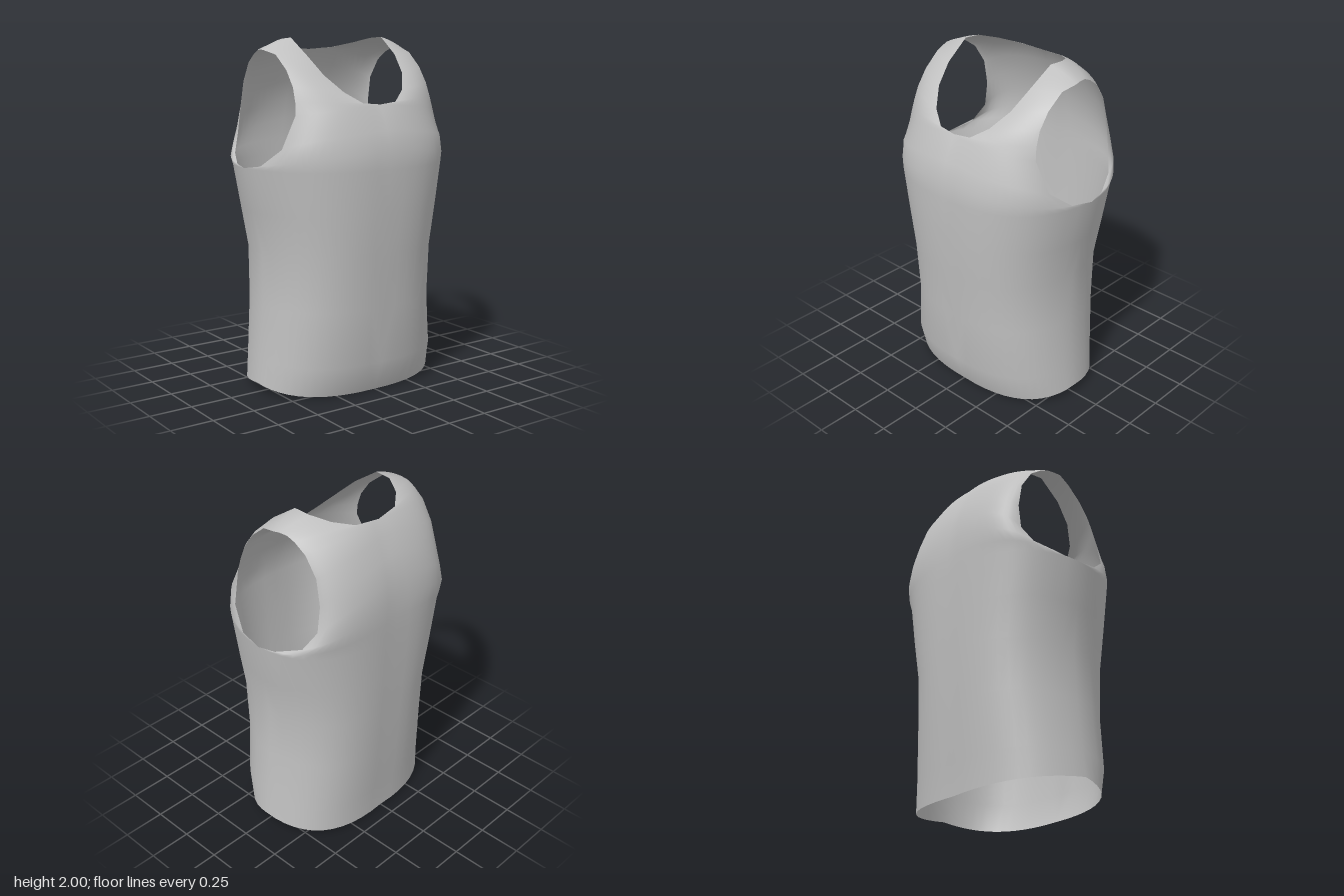
import * as THREE from 'three';
import { mergeVertices } from 'three/addons/utils/BufferGeometryUtils.js';

// Torso rows from hem to armpit: height at side, height at centre, half width, front depth, back depth, seam z
const torso = [
  [0.055, 0.0, 0.58, 0.345, 0.405, 0],
  [0.2, 0.18, 0.565, 0.41, 0.415, 0],
  [0.5, 0.5, 0.535, 0.42, 0.445, 0],
  [0.8, 0.8, 0.53, 0.455, 0.46, -0.01],
  [1.04, 1.04, 0.575, 0.468, 0.475, -0.02],
  [1.29, 1.29, 0.62, 0.483, 0.482, -0.04],
];

// Upper rows: inner point (centre, then neckline), bulge control, outer point (armhole)
const shoulder = [[0.315, 2, -0.03], [0.4, 1.98, -0.035], [0.485, 1.932, -0.04]];
const chest = [
  [[0, 1.4, 0.475], [0.53, 1.36, 0.49], [0.6, 1.312, 0.1]],
  [[0, 1.5, 0.452], [0.46, 1.48, 0.46], [0.54, 1.41, 0.225]],
  [[0, 1.64, 0.385], [0.3, 1.62, 0.42], [0.475, 1.59, 0.26]],
  [[0.11, 1.65, 0.375], [0.3, 1.67, 0.38], [0.465, 1.66, 0.245]],
  [[0.2, 1.71, 0.32], [0.34, 1.73, 0.31], [0.46, 1.74, 0.215]],
  [[0.27, 1.8, 0.23], [0.37, 1.82, 0.215], [0.46, 1.83, 0.15]],
  [[0.302, 1.9, 0.12], [0.38, 1.91, 0.11], [0.465, 1.91, 0.05]],
  shoulder,
];
const upperBack = [
  [[0, 1.4, -0.483], [0.57, 1.36, -0.53], [0.6, 1.3, -0.15]],
  [[0, 1.52, -0.478], [0.5, 1.45, -0.53], [0.535, 1.345, -0.29]],
  [[0, 1.64, -0.46], [0.45, 1.58, -0.5], [0.48, 1.45, -0.35]],
  [[0, 1.75, -0.425], [0.4, 1.7, -0.46], [0.46, 1.6, -0.35]],
  [[0, 1.85, -0.375], [0.36, 1.82, -0.41], [0.455, 1.75, -0.32]],
  [[0, 1.928, -0.33], [0.28, 1.92, -0.36], [0.46, 1.86, -0.25]],
  [[0.15, 1.938, -0.31], [0.33, 1.95, -0.27], [0.465, 1.91, -0.18]],
  [[0.25, 1.965, -0.23], [0.36, 1.97, -0.19], [0.47, 1.932, -0.13]],
  [[0.31, 1.993, -0.13], [0.39, 1.977, -0.11], [0.477, 1.935, -0.08]],
  shoulder,
];

const torsoRow = (front) => ([ySide, yMid, w, zFront, zBack, zSeam]) => {
  const z = front ? zFront : -zBack;
  return [
    [0, yMid, z],
    [w * (front ? 0.94 : 0.96), yMid, z * (front ? 1.05 : 1.1)],
    [w, ySide, zSeam],
  ];
};

const COLUMNS = 12;

// Adds one half panel of the garment to the shared position and index lists
function addHalfPanel(rows, mirror, flip, positions, indices) {
  const base = positions.length / 3;
  for (const row of rows) {
    const curve = new THREE.QuadraticBezierCurve3(...row.map((p) => new THREE.Vector3(...p)));
    for (let i = 0; i <= COLUMNS; i++) {
      const p = curve.getPoint(i / COLUMNS);
      positions.push(p.x * mirror, p.y, p.z);
    }
  }
  const stride = COLUMNS + 1;
  for (let r = 0; r < rows.length - 1; r++) {
    for (let i = 0; i < COLUMNS; i++) {
      const a = base + r * stride + i;
      const b = a + 1, c = a + stride, d = c + 1;
      if (flip) indices.push(a, d, b, a, c, d);
      else indices.push(a, b, d, a, d, c);
    }
  }
}

export function createModel() {
  const group = new THREE.Group();
  group.name = 'sleevelessShirt';

  const fabric = new THREE.MeshStandardMaterial({ color: 0xc0c0c0, side: THREE.DoubleSide });
  fabric.name = 'greyFabric';

  const frontRows = [...torso.map(torsoRow(true)), ...chest];
  const backRows = [...torso.map(torsoRow(false)), ...upperBack];

  // Front and back panels, each mirrored, welded along the seams for smooth shading
  const positions = [], indices = [];
  for (const mirror of [1, -1]) {
    addHalfPanel(frontRows, mirror, mirror < 0, positions, indices);
    addHalfPanel(backRows, mirror, mirror > 0, positions, indices);
  }
  let geometry = new THREE.BufferGeometry();
  geometry.setAttribute('position', new THREE.Float32BufferAttribute(positions, 3));
  geometry.setIndex(indices);
  geometry = mergeVertices(geometry, 1e-4);
  geometry.computeVertexNormals();

  const body = new THREE.Mesh(geometry, fabric);
  body.name = 'shirtBody';
  group.add(body);
  return group;
}
